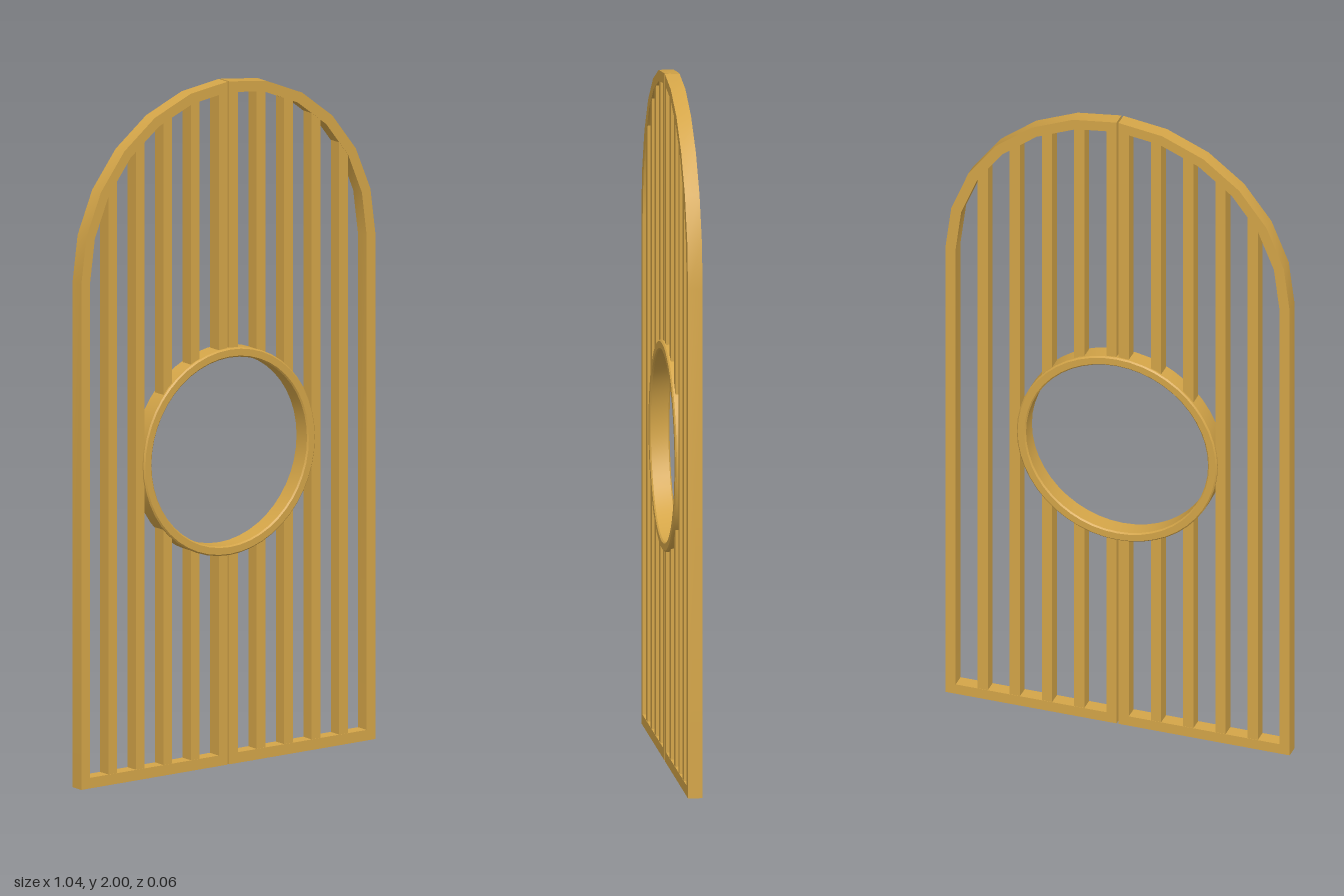
import * as THREE from 'three';
import { toCreasedNormals } from 'three/addons/utils/BufferGeometryUtils.js';

const R = 0.52, SPRING = 1.48;      // arch radius and springing height
const W = 0.031, DEPTH = 0.042;     // bar width and thickness
const GAP = 0.003;                  // half the slit between the two leaves
const RING_Y = 0.917, RING_R = 0.303;

export function createModel() {
  const group = new THREE.Group();
  const material = new THREE.MeshStandardMaterial({ color: 0xd4a548 });
  const add = (parent, name, geometry) => {
    const mesh = new THREE.Mesh(geometry, material);
    mesh.name = name;
    parent.add(mesh);
    return mesh;
  };

  // Closed outline of half an arch, from the middle slit to the outer edge
  const halfArch = (side, inner, bottom, radius) => {
    const pts = [[inner, bottom], [radius, bottom]];
    for (let i = 0; i < 6; i++) {
      const a = (i * Math.PI) / 12;
      pts.push([radius * Math.cos(a), SPRING + radius * Math.sin(a)]);
    }
    // last facet is cut off where it meets the slit
    const [px, py] = pts[pts.length - 1];
    pts.push([inner, SPRING + radius - (inner / px) * (SPRING + radius - py)]);
    return pts.map(([x, y]) => new THREE.Vector2(side * x, y));
  };

  for (const side of [-1, 1]) {
    const leaf = new THREE.Group();
    leaf.name = side > 0 ? 'leftLeaf' : 'rightLeaf';
    group.add(leaf);

    const bar = (name, x, y0, y1) =>
      add(leaf, name, new THREE.BoxGeometry(W, y1 - y0, DEPTH - 0.002))
        .position.set(side * x, (y0 + y1) / 2, 0);

    // Outer frame: stile, bottom rail and faceted arch
    const shape = new THREE.Shape(halfArch(side, GAP, 0, R));
    // The frame opening is split by the ring on the meeting stile
    shape.holes.push(new THREE.Path(halfArch(side, GAP + W, W, R - W)));
    // Meeting stile is cut away inside the ring, so the frame is left open there
    const cutTop = RING_Y + RING_R - 0.014, cutBottom = RING_Y - RING_R + 0.014;
    const open = [];
    const outer = halfArch(side, GAP, 0, R), hole = halfArch(side, GAP + W, W, R - W);
    const at = (x, y) => new THREE.Vector2(side * x, y);
    open.push(at(GAP, cutBottom), ...outer, at(GAP, cutTop), at(GAP + W, cutTop));
    open.push(...hole.reverse(), at(GAP + W, cutBottom));
    const frame = new THREE.ExtrudeGeometry(new THREE.Shape(open), { depth: DEPTH, bevelEnabled: false });
    frame.translate(0, 0, -DEPTH / 2);
    add(leaf, 'frame', toCreasedNormals(frame, 0.5));

    // Upright bars, the inner two interrupted by the ring
    for (let i = 1; i <= 4; i++) {
      const x = 0.019 + i * 0.0972, edge = x + W / 2;
      const top = SPRING + Math.sqrt(0.513 ** 2 - edge ** 2);
      if (edge < RING_R) {
        const h = Math.sqrt(0.3 ** 2 - edge ** 2);
        bar('lowerBar', x, 0.015, RING_Y - h);
        bar('upperBar', x, RING_Y + h, top);
      } else {
        bar('fullBar', x, 0.015, top);
      }
    }
  }

  // Ring in the middle, slightly thicker than the bars, with eased edges
  const r0 = 0.275, h = 0.029, b = 0.004;
  const profile = [
    [r0, -h + b], [r0 + b, -h], [RING_R - b, -h], [RING_R, -h + b],
    [RING_R, h - b], [RING_R - b, h], [r0 + b, h], [r0, h - b], [r0, -h + b],
  ].map(([x, y]) => new THREE.Vector2(x, y));
  const ring = new THREE.LatheGeometry(profile, 48);
  ring.rotateX(Math.PI / 2);
  add(group, 'ring', toCreasedNormals(ring, 0.5)).position.y = RING_Y;

  return group;
}
